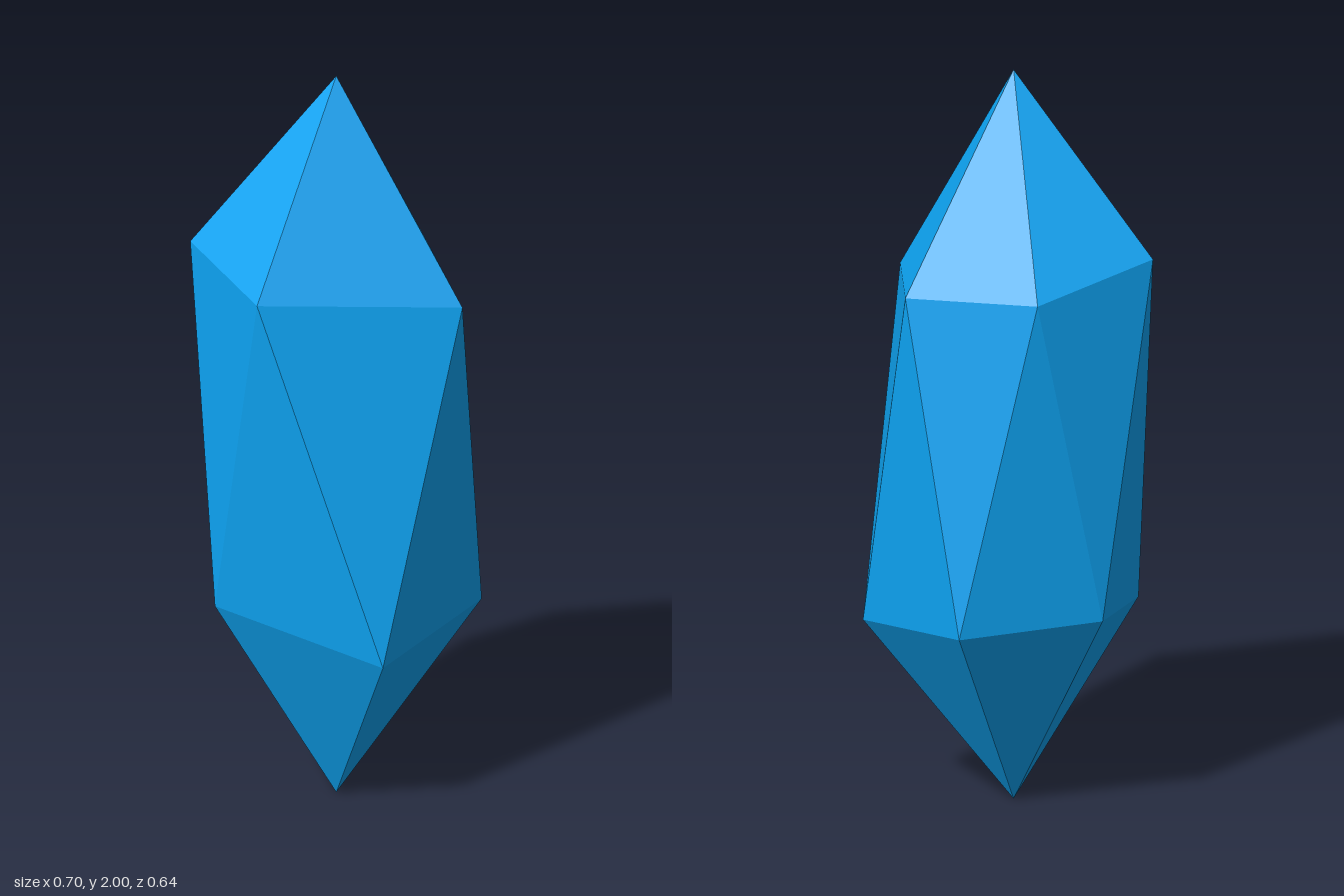
import * as THREE from 'three';

// Double-pointed crystal: two irregular five-sided rings, staggered, with a tip at each end.
export function createModel() {
  const top = [0, 2, 0.02];
  const bottom = [0, 0, 0.02];
  // both rings run counter-clockwise seen from above
  const upper = [[-0.06, 1.445, 0.32], [0.35, 1.405, -0.035], [0.07, 1.44, -0.32], [-0.25, 1.45, -0.16], [-0.35, 1.52, 0.175]];
  const lower = [[-0.23, 0.55, 0.25], [0.235, 0.445, 0.175], [0.27, 0.5, -0.265], [-0.12, 0.545, -0.32], [-0.31, 0.555, 0.025]];

  const positions = [];
  const face = (...corners) => corners.forEach((p) => positions.push(...p));

  for (let i = 0; i < 5; i++) {
    const j = (i + 1) % 5;
    face(top, upper[i], upper[j]);        // upper point
    face(upper[i], lower[j], upper[j]);   // side, pointing down
    face(lower[i], lower[j], upper[i]);   // side, pointing up
    face(bottom, lower[j], lower[i]);     // lower point
  }

  const geometry = new THREE.BufferGeometry();
  geometry.setAttribute('position', new THREE.Float32BufferAttribute(positions, 3));
  geometry.computeVertexNormals();

  const material = new THREE.MeshStandardMaterial({ color: 0x0ea5f5, flatShading: true });
  const crystal = new THREE.Mesh(geometry, material);
  crystal.name = 'crystal';

  const group = new THREE.Group();
  group.name = 'crystalShard';
  group.add(crystal);
  return group;
}
